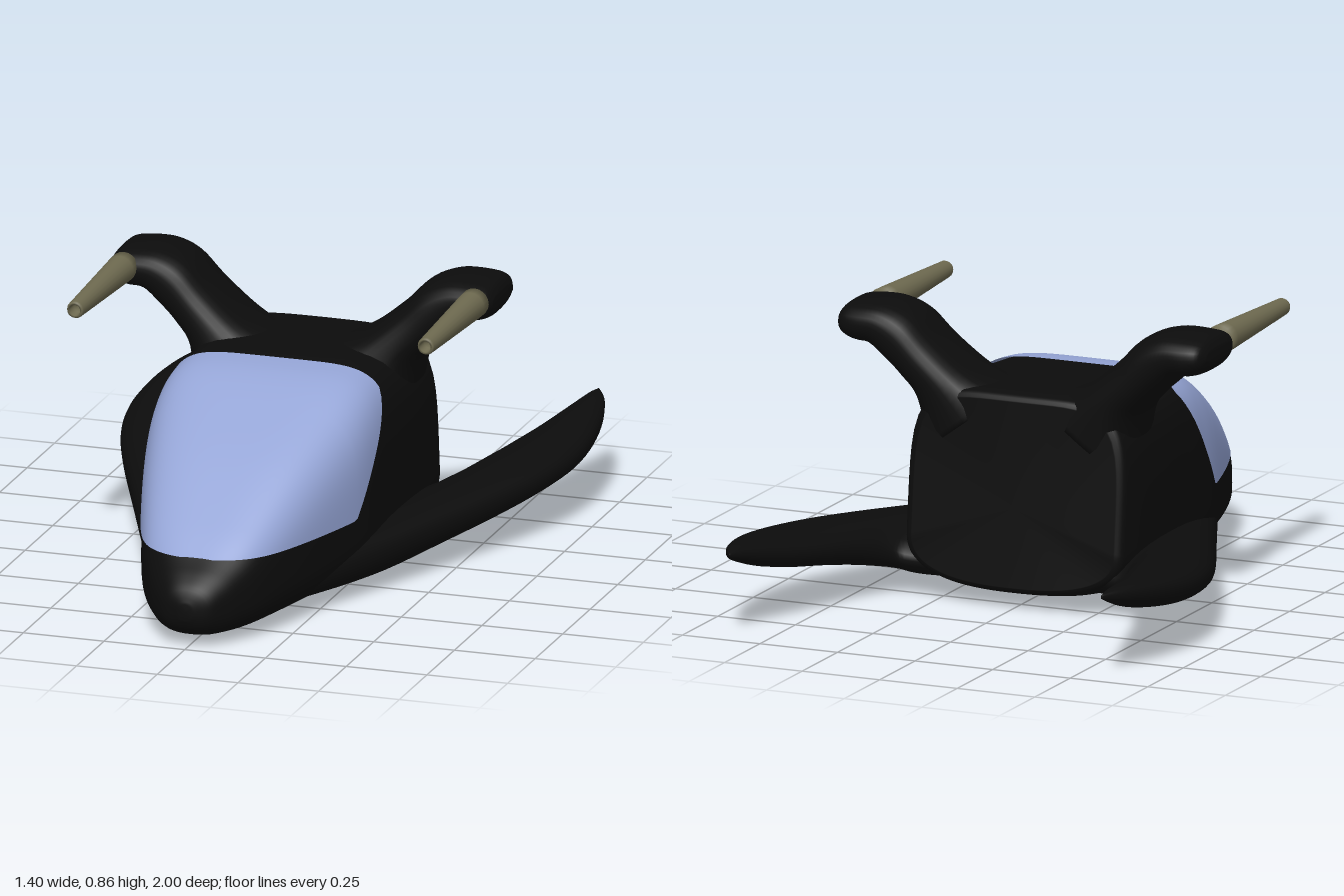
import * as THREE from 'three';

const hull = new THREE.MeshStandardMaterial({ color: 0x0c0c0c });
hull.name = 'black hull';
const glass = new THREE.MeshStandardMaterial({ color: 0x95a5d6, side: THREE.DoubleSide });
glass.name = 'blue glass';
const metal = new THREE.MeshStandardMaterial({ color: 0x6e6a50 });
metal.name = 'khaki metal';

// Smooth interpolation through a table of stations, t measured in rows
function sample(rows, t) {
  const last = rows.length - 1;
  const i = Math.min(Math.floor(t), last - 1), f = t - i;
  const row = (k) => rows[THREE.MathUtils.clamp(k, 0, last)];
  return rows[i].map((_, c) => {
    const p0 = row(i - 1)[c], p1 = row(i)[c], p2 = row(i + 1)[c], p3 = row(i + 2)[c];
    const m1 = (p2 - p0) / 2, m2 = (p3 - p1) / 2;
    return (2 * f ** 3 - 3 * f * f + 1) * p1 + (f ** 3 - 2 * f * f + f) * m1
      + (3 * f * f - 2 * f ** 3) * p2 + (f ** 3 - f * f) * m2;
  });
}

// Skin over rows of points; closed rows become capped tubes
function loft(rings, closed, side = 1) {
  const n = rings[0].length, pos = [], idx = [];
  const tri = (a, b, c) => (side > 0 ? idx.push(a, b, c) : idx.push(a, c, b));
  rings.forEach((r) => r.forEach((p) => pos.push(p.x * side, p.y, p.z)));
  for (let i = 0; i < rings.length - 1; i++) {
    for (let j = 0; j < (closed ? n : n - 1); j++) {
      const a = i * n + j, b = i * n + (j + 1) % n;
      tri(a, a + n, b);
      tri(b, a + n, b + n);
    }
  }
  if (closed) {
    [0, rings.length - 1].forEach((i, end) => {
      const c = new THREE.Vector3();
      rings[i].forEach((p) => c.addScaledVector(p, 1 / n));
      const k = pos.length / 3;
      pos.push(c.x * side, c.y, c.z);
      for (let j = 0; j < n; j++) {
        const a = i * n + j, b = i * n + (j + 1) % n;
        if (end) tri(k, b, a); else tri(k, a, b);
      }
    });
  }
  const g = new THREE.BufferGeometry();
  g.setAttribute('position', new THREE.Float32BufferAttribute(pos, 3));
  g.setIndex(idx);
  g.computeVertexNormals();
  return g;
}

// Radius of a rounded square of exponent n at angle a
const squircle = (a, n) => (Math.abs(Math.cos(a)) ** n + Math.abs(Math.sin(a)) ** n) ** (-1 / n);

// Body stations: z, half width, bottom, widest height, top, roundness of top
const BODY = [
  [1.0, 0.02, 0.09, 0.115, 0.14, 2.2],
  [0.985, 0.07, 0.06, 0.12, 0.18, 2.3],
  [0.95, 0.108, 0.035, 0.125, 0.215, 2.5],
  [0.9, 0.145, 0.024, 0.13, 0.252, 2.8],
  [0.8, 0.2, 0.014, 0.15, 0.33, 3.2],
  [0.6, 0.27, 0.007, 0.18, 0.465, 3.8],
  [0.4, 0.325, 0.003, 0.2, 0.57, 4.4],
  [0.27, 0.343, 0.002, 0.2, 0.622, 5],
  [0.15, 0.348, 0.002, 0.2, 0.638, 5.3],
  [0.0, 0.353, 0.006, 0.2, 0.64, 5.3],
  [-0.15, 0.355, 0.02, 0.2, 0.642, 5.3],
  [-0.25, 0.352, 0.045, 0.2, 0.642, 5],
  [-0.277, 0.345, 0.056, 0.2, 0.636, 5],
  [-0.286, 0.325, 0.07, 0.2, 0.62, 5],
];

function bodyPoint([z, w, bottom, mid, top, n], a, grow = 1) {
  const up = Math.sin(a) > 0, r = squircle(a, up ? n : 2.6) * grow;
  const x = w * r * Math.cos(a);
  const y = mid + (up ? top - mid : mid - bottom) * r * Math.sin(a);
  // the rear wall leans back towards its foot and bows slightly
  const ramp = THREE.MathUtils.clamp(-z / 0.28, 0, 1);
  const lean = Math.min(0.045, 0.1 * Math.max(0, 0.64 - y)) - 0.02 * (x / 0.35) ** 2;
  return new THREE.Vector3(x, y, z - ramp * lean);
}

function bodyGeometry() {
  const rings = [], steps = (BODY.length - 1) * 4;
  for (let i = 0; i <= steps; i++) {
    const s = sample(BODY, i / 4), ring = [];
    for (let j = 0; j < 72; j++) ring.push(bodyPoint(s, j / 72 * Math.PI * 2));
    rings.push(ring);
  }
  return loft(rings, true);
}

// Glass patch lying just over the front upper body
function canopyGeometry() {
  const rows = [];
  for (let i = 0; i <= 50; i++) {
    const s = sample(BODY, 3 + 5 * (i / 50) ** 1.3), [z, , , mid, top, n] = s;
    const sill = z > 0.4 ? 0.25 : 0.25 + (0.4 - z) / 0.25 * 0.33;
    const v = THREE.MathUtils.clamp((sill - mid) / (top - mid), 0, 1);
    const a0 = Math.atan2(v, (1 - v ** n) ** (1 / n)), row = [];
    for (let j = 0; j <= 48; j++) row.push(bodyPoint(s, a0 + (Math.PI - 2 * a0) * j / 48, 1.013));
    rows.push(row);
  }
  return loft(rows, false);
}

// Limb of rounded sections: each station gives centre, half depth and half height vectors
function limbGeometry(stations, toSection, n, side) {
  const rings = [], steps = (stations.length - 1) * 5;
  for (let i = 0; i <= steps; i++) {
    const [c, u, v] = toSection(sample(stations, i / 5)), ring = [];
    for (let j = 0; j < 32; j++) {
      const a = j / 32 * Math.PI * 2, r = squircle(a, n);
      ring.push(c.clone().addScaledVector(u, r * Math.cos(a)).addScaledVector(v, r * Math.sin(a)));
    }
    rings.push(ring);
  }
  return loft(rings, true, side);
}

// Wing stations: leading x, z, trailing x, z, height, half thickness
const WING = [
  [0.2, 0.7, 0.15, -0.29, 0.11, 0.09],
  [0.33, 0.41, 0.33, -0.31, 0.112, 0.082],
  [0.46, 0.12, 0.385, -0.345, 0.135, 0.075],
  [0.59, -0.17, 0.43, -0.45, 0.162, 0.066],
  [0.665, -0.37, 0.47, -0.58, 0.182, 0.058],
  [0.7, -0.56, 0.51, -0.71, 0.2, 0.052],
  [0.69, -0.75, 0.55, -0.84, 0.224, 0.042],
  [0.65, -0.91, 0.582, -0.945, 0.247, 0.024],
  [0.605, -0.995, 0.598, -0.998, 0.256, 0.006],
];
const wingSection = ([lx, lz, tx, tz, y, h]) => [
  new THREE.Vector3((lx + tx) / 2, y, (lz + tz) / 2),
  new THREE.Vector3((lx - tx) / 2, 0, (lz - tz) / 2),
  new THREE.Vector3(0, h, 0),
];

// Arm stations: upper x, y, lower x, y, front z, back z
const ARM = [
  [0.06, 0.62, 0.33, 0.42, 0.04, -0.29],
  [0.18, 0.67, 0.35, 0.58, 0.01, -0.29],
  [0.29, 0.755, 0.395, 0.645, -0.01, -0.29],
  [0.365, 0.828, 0.45, 0.695, -0.02, -0.29],
  [0.44, 0.858, 0.495, 0.732, -0.025, -0.29],
  [0.52, 0.86, 0.54, 0.738, -0.025, -0.288],
  [0.572, 0.85, 0.578, 0.755, -0.03, -0.275],
  [0.593, 0.822, 0.595, 0.785, -0.06, -0.24],
];
const armSection = ([ux, uy, bx, by, f, b]) => [
  new THREE.Vector3((ux + bx) / 2, (uy + by) / 2, (f + b) / 2),
  new THREE.Vector3(0, 0, (f - b) / 2),
  new THREE.Vector3((ux - bx) / 2, (uy - by) / 2, 0),
];

// Tapered barrel with a hollow muzzle
const BARREL = [[0, -0.05], [0.044, -0.04], [0.043, 0], [0.026, 0.4], [0.023, 0.408],
  [0.017, 0.408], [0.015, 0.37], [0, 0.37]].map(([r, y]) => new THREE.Vector2(r, y));

export function createModel() {
  const model = new THREE.Group();
  model.name = 'spacecraft';
  const add = (name, geometry, material) => {
    const mesh = new THREE.Mesh(geometry, material);
    mesh.name = name;
    model.add(mesh);
    return mesh;
  };
  add('body', bodyGeometry(), hull);
  add('canopy', canopyGeometry(), glass);
  for (const [label, side] of [['left', 1], ['right', -1]]) {
    add(label + 'Wing', limbGeometry(WING, wingSection, 2.3, side), hull);
    add(label + 'GunArm', limbGeometry(ARM, armSection, 2.7, side), hull);
    const barrel = add(label + 'GunBarrel', new THREE.LatheGeometry(BARREL, 20), metal);
    barrel.rotation.x = Math.PI / 2;
    barrel.position.set(0.543 * side, 0.81, 0);
  }
  return model;
}
